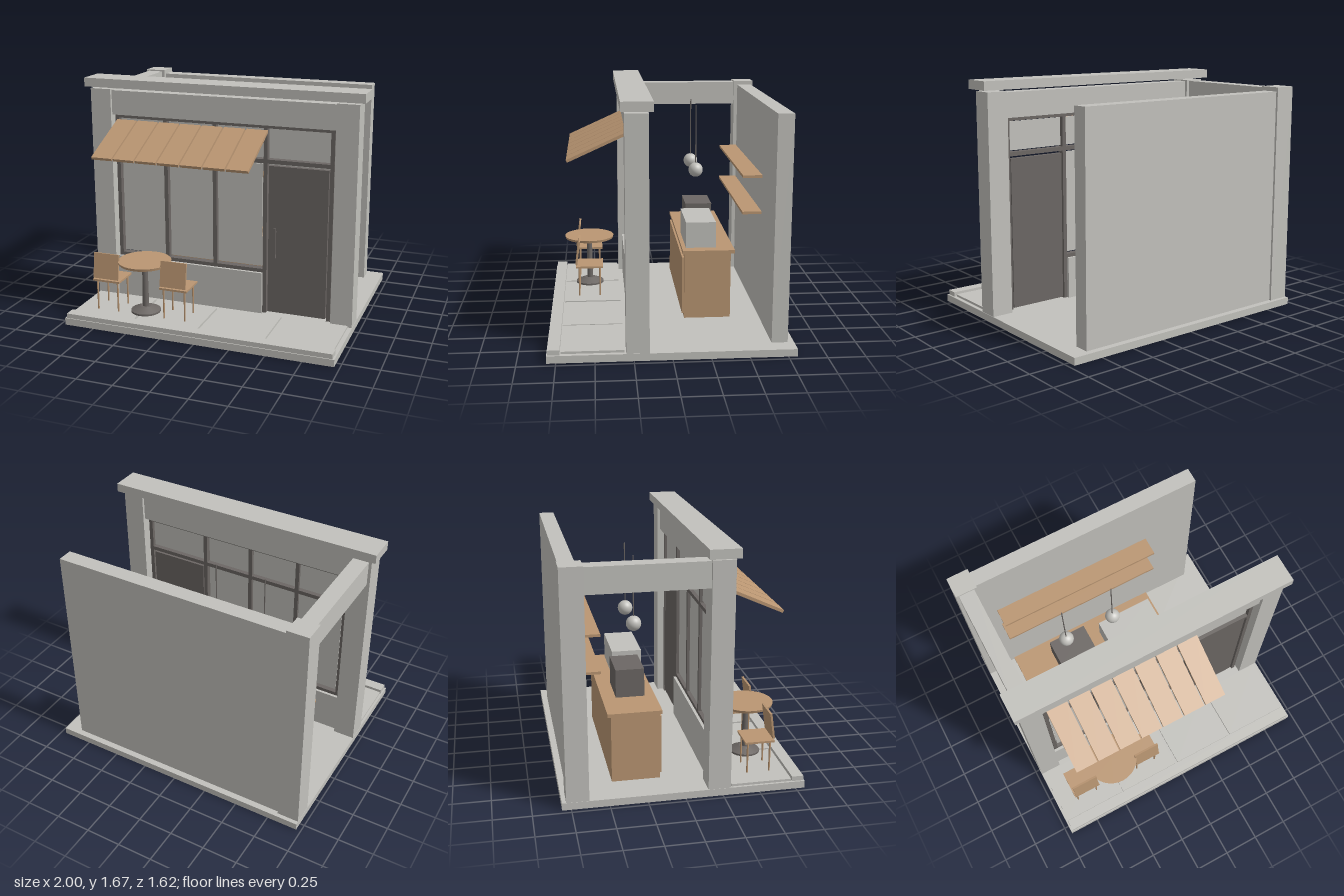
import * as THREE from 'three';

const material = (name, color) => {
  const m = new THREE.MeshStandardMaterial({ color });
  m.name = name;
  return m;
};

export function createModel() {
  const plaster = material('pale grey', 0xc2c1bc);
  const wood = material('light wood', 0xba9672);
  const metal = material('dark metal', 0x6c6764);

  const model = new THREE.Group();
  model.name = 'cafeFront';

  const add = (parent, name, geometry, mat, x, y, z) => {
    const mesh = new THREE.Mesh(geometry, mat);
    mesh.name = name;
    mesh.position.set(x, y, z);
    parent.add(mesh);
    return mesh;
  };
  // Box given by its lower and upper limits on each axis
  const box = (name, mat, [x0, x1], [y0, y1], [z0, z1], parent = model) =>
    add(parent, name, new THREE.BoxGeometry(x1 - x0, y1 - y0, z1 - z0), mat,
      (x0 + x1) / 2, (y0 + y1) / 2, (z0 + z1) / 2);
  const group = (name) => {
    const g = new THREE.Group();
    g.name = name;
    model.add(g);
    return g;
  };

  // Floor, paving and kerb
  box('floorSlab', plaster, [-0.967, 0.963], [0, 0.05], [-0.81, 0.81]);
  for (const x of [-0.95, -0.475, 0.005, 0.475])
    box('pavingSlab', plaster, [x, x + 0.458], [0.05, 0.066], [0.31, 0.72]);
  box('kerb', plaster, [-0.955, 0.95], [0.05, 0.083], [0.725, 0.803]);

  // Shell: pillars, beams and back wall
  box('frontPillarRight', plaster, [-0.965, -0.813], [0.05, 1.592], [0.15, 0.3]);
  box('frontPillarLeft', plaster, [0.808, 0.96], [0.05, 1.592], [0.15, 0.3]);
  box('backPillar', plaster, [-0.965, -0.813], [0.05, 1.595], [-0.782, -0.633]);
  box('backWall', plaster, [-0.813, 0.842], [0.05, 1.565], [-0.767, -0.66]);
  box('sideBeam', plaster, [-0.945, -0.835], [1.413, 1.585], [-0.633, 0.15]);
  box('frontBeam', plaster, [-0.813, 0.808], [1.41, 1.583], [0.17, 0.28]);
  box('frontCap', plaster, [-1, 1], [1.606, 1.668], [0.122, 0.325]);
  box('kneeWall', plaster, [-0.813, 0.302], [0.05, 0.352], [0.18, 0.27]);

  // Window frame and panes
  const frame = group('shopWindow');
  const depth = [0.2, 0.25];
  for (const [x, bottom] of [[-0.79, 0.352], [-0.422, 0.352], [-0.054, 0.352], [0.315, 0.05], [0.78, 0.05]])
    box('framePost', metal, [x - 0.014, x + 0.014], [bottom, 1.41], depth, frame);
  box('topRail', metal, [-0.805, 0.795], [1.385, 1.41], depth, frame);
  box('transomRail', metal, [-0.805, 0.795], [1.142, 1.17], depth, frame);
  box('bottomRail', metal, [-0.805, 0.302], [0.352, 0.378], depth, frame);
  for (const [x0, x1] of [[-0.767, -0.436], [-0.4, -0.07], [-0.036, 0.29], [0.335, 0.763]]) {
    box('transomPane', plaster, [x0, x1], [1.18, 1.38], [0.22, 0.228], frame);
    if (x1 < 0.3) box('windowPane', plaster, [x0, x1], [0.392, 1.132], [0.22, 0.228], frame);
  }

  // Door with a pull handle
  box('door', metal, [0.338, 0.757], [0.06, 1.125], [0.205, 0.24]);
  box('doorHandle', metal, [0.385, 0.4], [0.475, 0.69], [0.258, 0.272]);
  for (const y of [0.51, 0.655])
    box('handleMount', metal, [0.388, 0.397], [y, y + 0.012], [0.24, 0.26]);

  // Sloping slatted awning on two arms
  const awning = group('awning');
  awning.position.set(0, 1.377, 0.27);
  awning.rotation.x = 0.425;
  for (let i = 0; i < 7; i++) {
    const x = -0.78 + i * 0.161;
    box('awningSlat', wood, [x, x + 0.15], [-0.02, 0], [0, 0.445], awning);
  }
  for (const x of [-0.7, 0.25])
    box('awningArm', metal, [x - 0.01, x + 0.01], [-0.032, -0.02], [0, 0.4], awning);

  // Counter and the machines on it
  box('counterBody', wood, [-0.735, 0.345], [0.05, 0.522], [-0.455, -0.13]);
  box('counterPanel', wood, [-0.715, 0.325], [0.08, 0.49], [-0.13, -0.115]);
  box('counterTop', wood, [-0.76, 0.37], [0.525, 0.548], [-0.48, -0.117]);
  box('coffeeMachine', metal, [-0.49, -0.21], [0.548, 0.745], [-0.385, -0.19]);
  box('displayCase', plaster, [-0.1, 0.315], [0.555, 0.737], [-0.353, -0.143]);

  // Wall shelves
  for (const y of [0.824, 1.076])
    box('wallShelf', wood, [-0.74, 0.45], [y, y + 0.018], [-0.645, -0.513]);

  // Pendant lamps
  for (const x of [-0.4, -0.035]) {
    add(model, 'lampGlobe', new THREE.SphereGeometry(0.052, 24, 16), plaster, x, 1.04, -0.245);
    add(model, 'lampCord', new THREE.CylinderGeometry(0.004, 0.004, 0.42, 8), metal, x, 1.297, -0.245);
  }

  // Round table
  const table = group('table');
  table.position.set(-0.472, 0, 0.533);
  add(table, 'tableTop', new THREE.CylinderGeometry(0.187, 0.182, 0.018, 32), wood, 0, 0.437, 0);
  add(table, 'tableColumn', new THREE.CylinderGeometry(0.019, 0.023, 0.335, 16), metal, 0, 0.262, 0);
  add(table, 'tableFoot', new THREE.CylinderGeometry(0.04, 0.105, 0.028, 24), metal, 0, 0.093, 0);
  add(table, 'tableFootRim', new THREE.CylinderGeometry(0.105, 0.105, 0.013, 24), metal, 0, 0.0725, 0);

  // Pair of chairs
  for (const x of [-0.728, -0.22]) {
    const chair = group('chair');
    chair.position.set(x, 0, 0.533);
    box('chairSeat', wood, [-0.102, 0.102], [0.284, 0.298], [-0.1, 0.102], chair);
    const back = add(chair, 'chairBack', new THREE.BoxGeometry(0.19, 0.182, 0.014), wood, 0, 0.398, 0.086);
    back.rotation.x = -0.14;
    for (const sx of [-1, 1]) for (const sz of [-1, 1])
      add(chair, 'chairLeg', new THREE.CylinderGeometry(0.007, 0.006, 0.218, 8), wood, sx * 0.078, 0.175, sz * 0.077);
  }
  return model;
}
